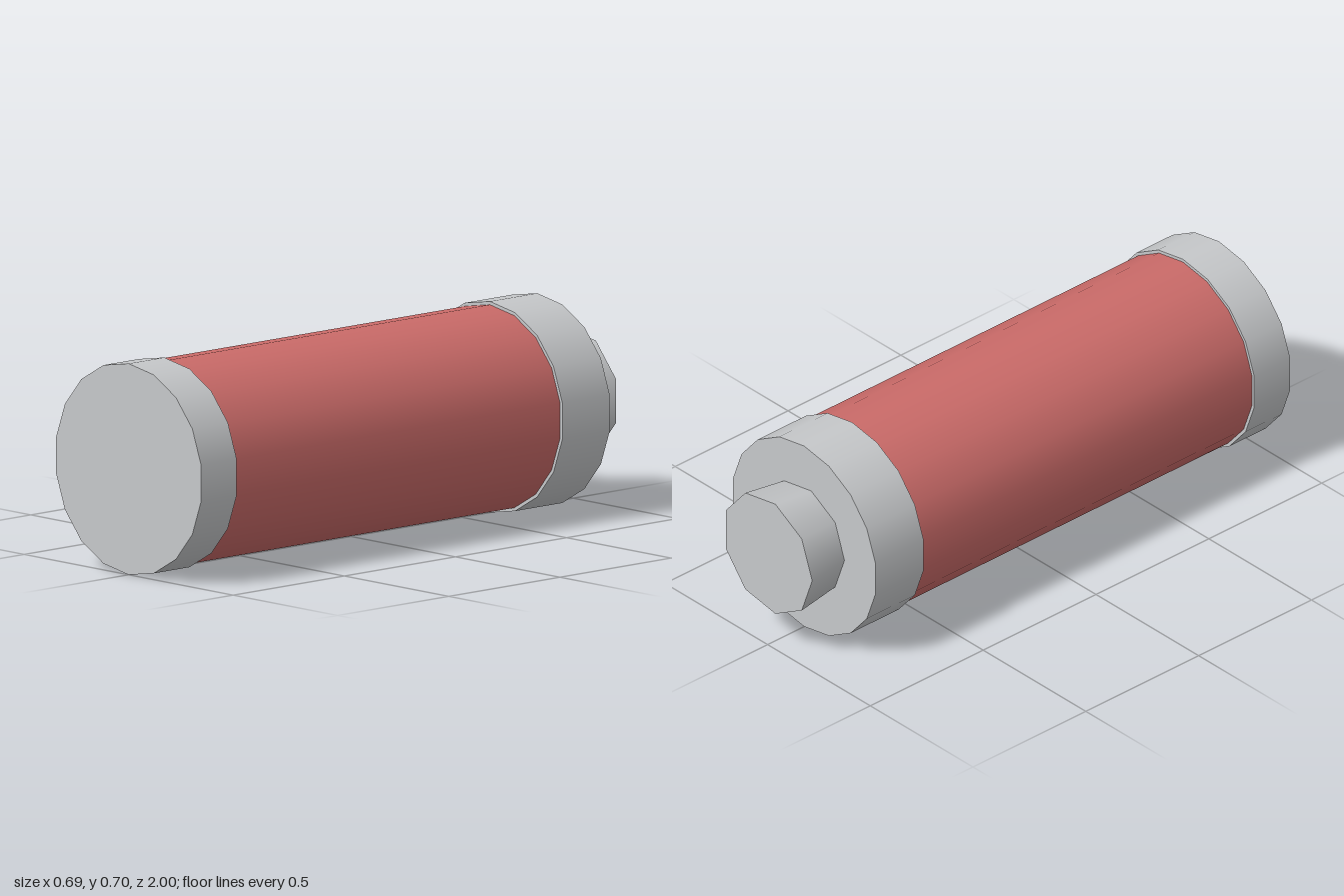
import * as THREE from 'three';

const RADIUS = 0.352; // also the height of the axis above the ground

export function createModel() {
  const group = new THREE.Group();
  const grey = new THREE.MeshStandardMaterial({ color: 0xc6c8ca });
  grey.name = 'light grey';
  const red = new THREE.MeshStandardMaterial({ color: 0xcb6b69 });
  red.name = 'soft red';

  // Closed cylinder lying along z, from zBack to zFront
  function addDrum(name, material, zBack, zFront, rBack, rFront, sides, start = 0) {
    const geometry = new THREE.CylinderGeometry(rFront, rBack, zFront - zBack, sides, 1, false, start);
    geometry.rotateX(Math.PI / 2);
    const mesh = new THREE.Mesh(geometry, material);
    mesh.name = name;
    mesh.position.set(0, RADIUS, (zBack + zFront) / 2);
    group.add(mesh);
  }

  addDrum('body', red, -0.63, 0.845, 0.341, 0.341, 18);
  addDrum('frontCap', grey, 0.84, 1, RADIUS, RADIUS, 18);
  addDrum('rearCap', grey, -0.838, -0.625, RADIUS, RADIUS, 18);
  // Flared nozzle, one corner pointing to the right
  addDrum('nozzle', grey, -1, -0.835, 0.217, 0.196, 9, -Math.PI / 2);

  return group;
}
